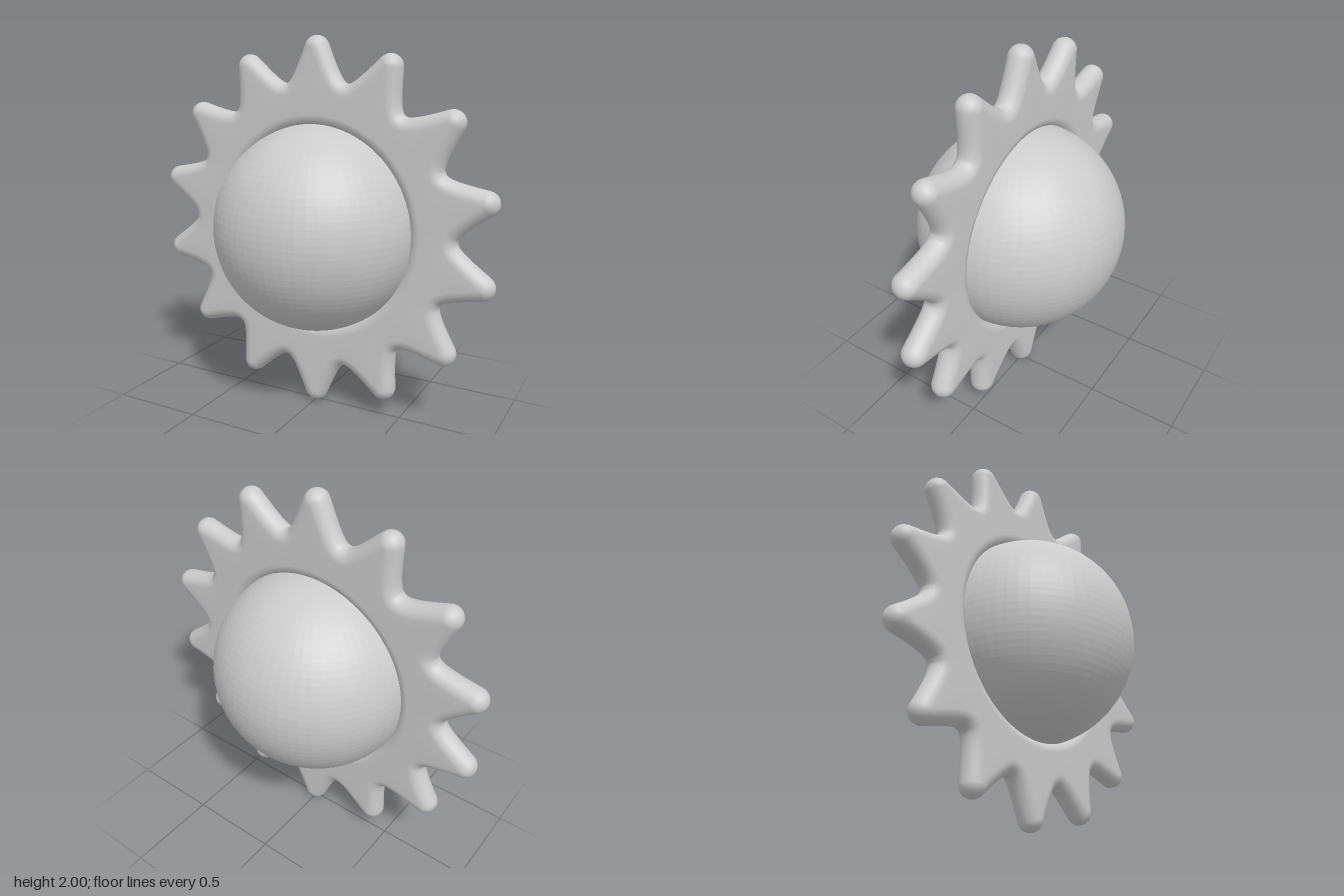
import * as THREE from 'three';

const RAYS = 14;
const HALF = Math.PI / RAYS;   // half the angle taken by one ray
const BEVEL = 0.065;           // radius of the rounded rim
const VALLEY = 0.715, HEIGHT = 0.22, POWER = 2.3; // outline before rounding
const HOLE = 0.6;

// One ray: list of [angle, radius, tilt of the outward normal]
function rayColumns() {
  const sides = 12, fan = 10, columns = [];
  const point = (u) => {
    const k = 1 - Math.abs(u);
    const r = VALLEY + HEIGHT * k ** POWER;
    const slope = HEIGHT * POWER * k ** (POWER - 1) / HALF;
    return [u * HALF, r, Math.sign(u) * Math.atan2(slope, r)];
  };
  for (let i = 0; i < sides; i++) columns.push(point(-1 + i / sides));
  const tipTilt = Math.atan2(HEIGHT * POWER / HALF, VALLEY + HEIGHT);
  for (let i = 0; i <= fan; i++) {
    columns.push([0, VALLEY + HEIGHT, tipTilt * (2 * i / fan - 1)]);
  }
  for (let i = 1; i < sides; i++) columns.push(point(i / sides));
  return columns;
}

// Flat ring of rays: a closed cross-section carried around the circle
function rayRingGeometry() {
  const ray = rayColumns(), steps = 10;
  const count = ray.length * RAYS, rows = 2 * (steps + 1);
  const positions = [], index = [];
  for (let i = 0; i < count; i++) {
    const [offset, radius, tilt] = ray[i % ray.length];
    const angle = Math.PI / 2 + Math.floor(i / ray.length) * 2 * HALF + offset;
    const holeAngle = Math.PI / 2 - HALF + (i / count) * Math.PI * 2;
    // rounded edge of the hole, front to back
    for (let j = 0; j <= steps; j++) {
      const p = Math.PI / 2 - Math.PI * j / steps;
      const r = HOLE - BEVEL * Math.cos(p);
      positions.push(r * Math.cos(holeAngle), r * Math.sin(holeAngle), BEVEL * Math.sin(p));
    }
    // rounded outer edge, back to front
    for (let j = 0; j <= steps; j++) {
      const p = -Math.PI / 2 + Math.PI * j / steps;
      const b = BEVEL * Math.cos(p);
      positions.push(
        radius * Math.cos(angle) + b * Math.cos(angle + tilt),
        radius * Math.sin(angle) + b * Math.sin(angle + tilt),
        BEVEL * Math.sin(p));
    }
    for (let j = 0; j < rows; j++) {
      const next = (i + 1) % count, up = (j + 1) % rows;
      const a = i * rows + j, b = next * rows + j, c = next * rows + up, d = i * rows + up;
      index.push(a, b, c, a, c, d);
    }
  }
  const geometry = new THREE.BufferGeometry();
  geometry.setAttribute('position', new THREE.Float32BufferAttribute(positions, 3));
  geometry.setIndex(index);
  geometry.computeVertexNormals();
  return geometry;
}

export function createModel() {
  const group = new THREE.Group();
  group.name = 'sun';

  // central ball
  const ball = new THREE.Mesh(
    new THREE.SphereGeometry(0.555, 64, 48),
    new THREE.MeshStandardMaterial({ color: 0xcccccc, flatShading: true }));
  ball.name = 'ball';

  // ring of rounded rays
  const rays = new THREE.Mesh(
    rayRingGeometry(),
    new THREE.MeshStandardMaterial({ color: 0xcccccc }));
  rays.name = 'rayRing';

  for (const part of [ball, rays]) {
    part.position.y = 1;
    group.add(part);
  }
  return group;
}
